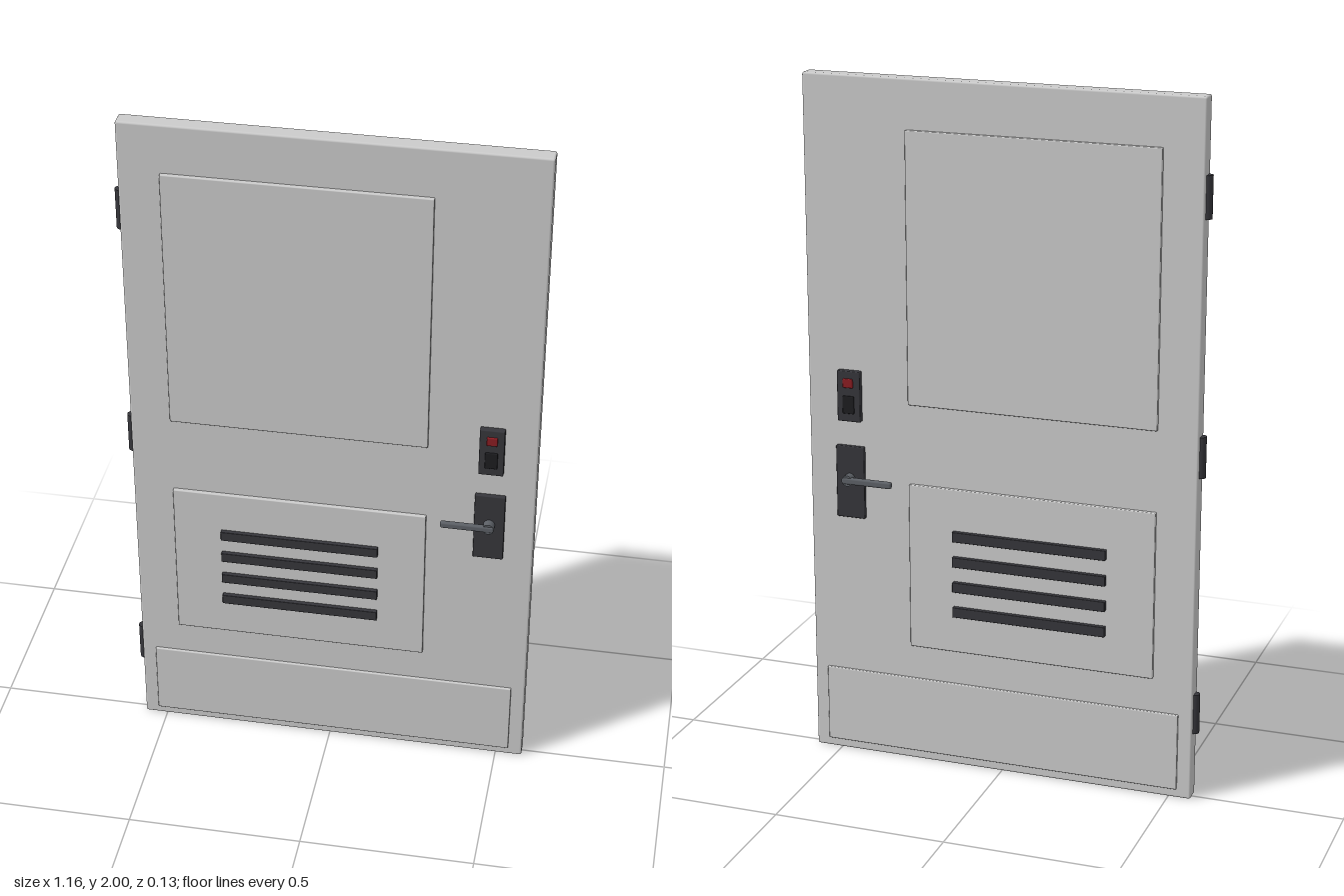
import * as THREE from 'three';
import { RoundedBoxGeometry } from 'three/addons/geometries/RoundedBoxGeometry.js';

const mat = (color) => new THREE.MeshStandardMaterial({ color });

export function createModel() {
  const door = new THREE.Group();
  door.name = 'door';
  const grey = mat(0xcccccc), dark = mat(0x36363b), black = mat(0x1c1c1f);
  const steel = mat(0x5c6066), red = mat(0x8a1c22);

  // Box given by its x, y and z ranges, with slightly softened edges
  function box(parent, name, x0, x1, y0, y1, z0, z1, material, radius = 0.003) {
    const geo = new RoundedBoxGeometry(x1 - x0, y1 - y0, z1 - z0, 2, radius);
    const mesh = new THREE.Mesh(geo, material);
    mesh.position.set((x0 + x1) / 2, (y0 + y1) / 2, (z0 + z1) / 2);
    mesh.name = name;
    parent.add(mesh);
    return mesh;
  }

  // Door leaf
  box(door, 'leaf', -0.565, 0.578, 0, 2, -0.024, 0.024, grey, 0.006);

  // Hinge knuckles on the left edge as seen from the front
  for (const y of [0.257, 1.013, 1.732]) {
    const hinge = new THREE.Mesh(new THREE.CylinderGeometry(0.014, 0.014, 0.118, 16), dark);
    hinge.position.set(-0.566, y, 0);
    hinge.name = 'hinge';
    door.add(hinge);
  }

  // Fittings of one face; side is +1 for the front and -1 for the back
  function addFace(side) {
    const face = new THREE.Group();
    face.name = side > 0 ? 'frontFittings' : 'backFittings';
    const part = (name, x0, x1, y0, y1, zIn, zOut, material, radius) =>
      box(face, name, x0, x1, y0, y1,
        Math.min(side * zIn, side * zOut), Math.max(side * zIn, side * zOut), material, radius);

    // Raised panels and kick plate
    part('upperPanel', -0.45, 0.275, 1.083, 1.86, 0.018, 0.035, grey);
    part('lowerPanel', -0.45, 0.275, 0.357, 0.848, 0.018, 0.035, grey);
    part('kickPlate', -0.525, 0.538, 0.027, 0.255, 0.018, 0.032, grey);

    // Ventilation slats
    for (let i = 0; i < 4; i++) {
      const y = 0.483 + i * 0.076;
      part('ventSlat', -0.312, 0.141, y - 0.015, y + 0.015, 0.03, 0.048, dark, 0.002);
    }

    // Access reader with indicator light and button
    part('reader', 0.417, 0.486, 1.018, 1.166, 0.02, 0.041, dark);
    part('indicatorLight', 0.437, 0.467, 1.118, 1.145, 0.036, 0.046, red);
    part('readerButton', 0.434, 0.469, 1.042, 1.094, 0.036, 0.045, black);

    // Lock plate, spindle and lever
    part('lockPlate', 0.41, 0.495, 0.729, 0.943, 0.02, 0.036, dark);
    const spindle = new THREE.Mesh(new THREE.CylinderGeometry(0.016, 0.016, 0.03, 20), steel);
    spindle.rotation.x = Math.PI / 2;
    spindle.position.set(0.453, 0.847, side * 0.046);
    spindle.name = 'handleSpindle';
    face.add(spindle);
    part('handleLever', 0.318, 0.469, 0.837, 0.857, 0.049, 0.064, steel, 0.006);
    door.add(face);
  }
  addFace(1);
  addFace(-1);

  return door;
}
